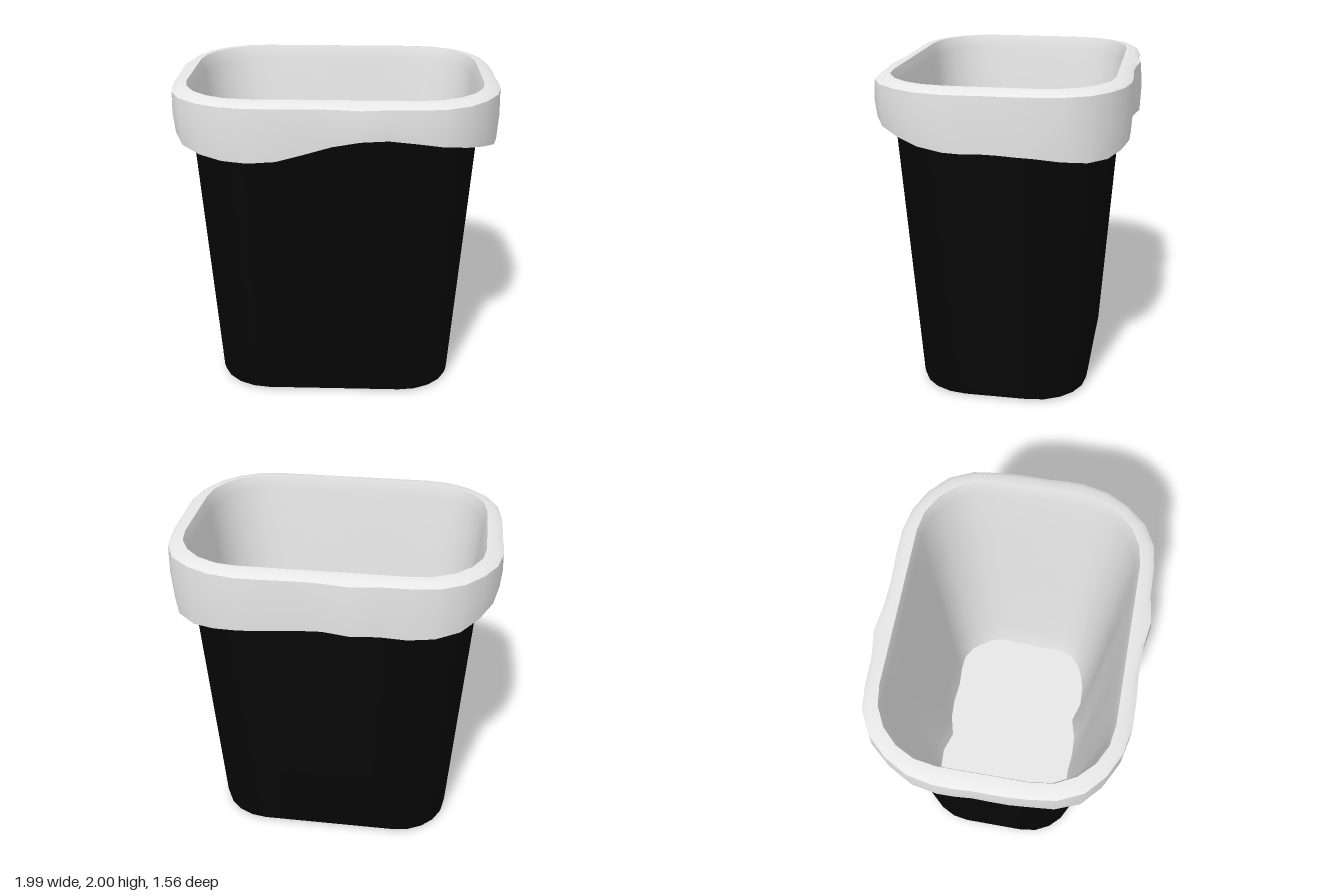
import * as THREE from 'three';

// Hem height of the liner, keyed by angle in degrees from the front towards +x
const HEM = [
  [0, 1.75], [12, 1.8], [27, 1.77], [44, 1.72], [58, 1.67], [74, 1.64], [90, 1.645], [108, 1.63],
  [135, 1.585], [153, 1.63], [180, 1.66], [190, 1.66], [207, 1.64], [225, 1.67], [242, 1.73],
  [260, 1.78], [290, 1.75], [314, 1.67], [329, 1.645], [338, 1.65], [344, 1.665], [360, 1.75],
];

function hemHeight(a) {
  const i = Math.max(1, HEM.findIndex(([k]) => k >= a));
  const [a0, y0] = HEM[i - 1], [a1, y1] = HEM[i];
  return THREE.MathUtils.lerp(y0, y1, (a - a0) / (a1 - a0));
}

// Folds in the film: one marked pleat at the front and back, plus a gentle ripple
function ripple(a) {
  const half = a % 180;
  return Math.exp(-(((half - 11) / 5) ** 2)) + 0.7 * Math.exp(-(((half - 80) / 8) ** 2))
    + 0.25 * Math.sin(THREE.MathUtils.degToRad(a * 12));
}

// Rounded rectangle at one height, counter-clockwise from above
function ring({ x, z, r, y, fold = 0 }) {
  const points = [];
  const corners = [[1, 1], [1, -1], [-1, -1], [-1, 1]];
  const centre = (k) => new THREE.Vector2(corners[k % 4][0] * (x - r), corners[k % 4][1] * (z - r));
  for (let k = 0; k < 4; k++) {
    const c = centre(k), next = centre(k + 1);
    for (let s = 0; s <= 5; s++) {
      const t = (k + s / 5) * Math.PI / 2;
      points.push([c.x + r * Math.sin(t), c.y + r * Math.cos(t), Math.sin(t), Math.cos(t)]);
    }
    const steps = k % 2 ? 6 : 5;
    const t = (k + 1) * Math.PI / 2, nx = Math.sin(t), nz = Math.cos(t);
    for (let s = 1; s < steps; s++) {
      const p = c.clone().lerp(next, s / steps);
      points.push([p.x + r * nx, p.y + r * nz, nx, nz]);
    }
  }
  return points.map(([px, pz, nx, nz]) => {
    const a = (THREE.MathUtils.radToDeg(Math.atan2(px / (x || 1), pz / (z || 1))) + 360) % 360;
    const f = fold ? fold * ripple(a) : 0;
    return [px + nx * f, typeof y === 'function' ? y(a) : y, pz + nz * f];
  });
}

// Skin joining a list of rings
function loft(name, material, specs) {
  const rings = specs.map(ring), n = rings[0].length, index = [];
  for (let i = 0; i < rings.length - 1; i++) {
    for (let j = 0; j < n; j++) {
      const a = i * n + j, b = i * n + (j + 1) % n;
      index.push(a, b, a + n, b, b + n, a + n);
    }
  }
  const geometry = new THREE.BufferGeometry();
  geometry.setAttribute('position', new THREE.Float32BufferAttribute(rings.flat(2), 3));
  geometry.setIndex(index);
  geometry.computeVertexNormals();
  const mesh = new THREE.Mesh(geometry, material);
  mesh.name = name;
  return mesh;
}

export function createModel() {
  const black = new THREE.MeshStandardMaterial({ color: 0x060606, side: THREE.DoubleSide });
  black.name = 'black plastic';
  const grey = new THREE.MeshStandardMaterial({ color: 0xe7e7e7, side: THREE.DoubleSide });
  grey.name = 'pale grey film';

  // Shared edges
  const base = { x: 0.735, z: 0.51, r: 0.31, y: 0 };
  const outerEdge = { x: 0.98, z: 0.748, r: 0.49, y: 1.97, fold: 0.02 };
  const innerEdge = { x: 0.89, z: 0.66, r: 0.4, y: 2 };
  const floorEdge = { x: 0.695, z: 0.472, r: 0.29, y: 0.05, fold: -0.03 };

  const model = new THREE.Group();
  model.name = 'wasteBin';

  // Tapered bin
  const bin = new THREE.Group();
  bin.name = 'bin';
  bin.add(
    loft('binWall', black, [
      base,
      { x: 0.752, z: 0.525, r: 0.32, y: 0.012 },
      { x: 0.76, z: 0.532, r: 0.33, y: 0.04 },
      { x: 0.865, z: 0.643, r: 0.4, y: 1.65 },
      { x: 0.884, z: 0.662, r: 0.41, y: 1.95 },
    ]),
    loft('binBottom', black, [{ x: 0, z: 0, r: 0, y: 0 }, base]),
  );

  // Bag liner folded over the rim
  const liner = new THREE.Group();
  liner.name = 'liner';
  liner.add(
    loft('linerSkirt', grey, [
      { x: 0.972, z: 0.742, r: 0.49, y: hemHeight, fold: 0.028 },
      { x: 0.982, z: 0.752, r: 0.49, y: (a) => (hemHeight(a) + 1.97) / 2, fold: 0.025 },
      outerEdge,
    ]),
    loft('linerRim', grey, [outerEdge, { x: 0.945, z: 0.715, r: 0.45, y: 1.994 }, innerEdge]),
    loft('linerInside', grey, [
      innerEdge,
      { x: 0.868, z: 0.64, r: 0.385, y: 1.92 },
      { x: 0.83, z: 0.605, r: 0.365, y: 1.5, fold: -0.005 },
      { x: 0.785, z: 0.56, r: 0.345, y: 0.9, fold: -0.015 },
      { x: 0.735, z: 0.51, r: 0.315, y: 0.25, fold: -0.025 },
      floorEdge,
    ]),
    loft('linerFloor', grey, [floorEdge, { x: 0, z: 0, r: 0, y: 0.05 }]),
  );

  model.add(bin, liner);
  return model;
}
